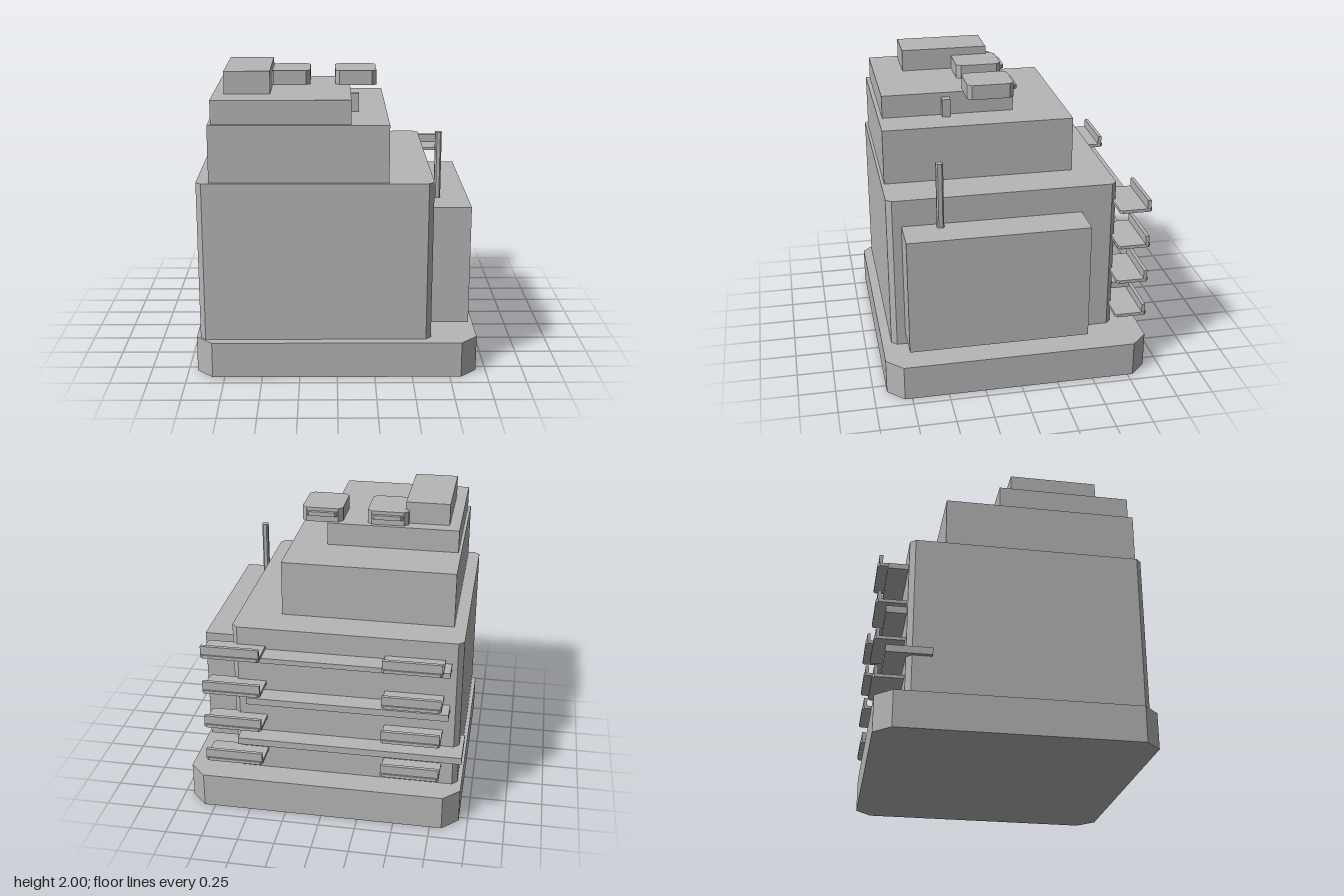
import * as THREE from 'three';

export function createModel() {
  const model = new THREE.Group();
  model.name = 'steppedTower';
  const grey = new THREE.MeshStandardMaterial({ color: 0xb6b6b6 });
  grey.name = 'concreteGrey';

  // Box given by its extents on each axis
  function box(name, [x0, x1], [y0, y1], [z0, z1], parent = model) {
    const mesh = new THREE.Mesh(new THREE.BoxGeometry(x1 - x0, y1 - y0, z1 - z0), grey);
    mesh.position.set((x0 + x1) / 2, (y0 + y1) / 2, (z0 + z1) / 2);
    mesh.name = name;
    parent.add(mesh);
    return mesh;
  }

  // Block with its four vertical corners cut by c
  function cutBlock(name, [x0, x1], [y0, y1], [z0, z1], c, parent = model) {
    const w = (x1 - x0) / 2, d = (z1 - z0) / 2;
    const corners = [
      [w, -d + c], [w, d - c], [w - c, d], [-w + c, d],
      [-w, d - c], [-w, -d + c], [-w + c, -d], [w - c, -d],
    ].map(([x, y]) => new THREE.Vector2(x, y));
    const geometry = new THREE.ExtrudeGeometry(new THREE.Shape(corners), { depth: y1 - y0, bevelEnabled: false });
    geometry.rotateX(-Math.PI / 2);
    const mesh = new THREE.Mesh(geometry, grey);
    mesh.position.set((x0 + x1) / 2, y0, (z0 + z1) / 2);
    mesh.name = name;
    parent.add(mesh);
    return mesh;
  }

  // Base and stepped tiers
  cutBlock('base', [-0.94, 0.935], [0, 0.243], [-0.895, 0.91], 0.11);
  cutBlock('tower', [-0.912, 0.627], [0.243, 1.316], [-0.712, 0.845], 0.036);
  box('upperTier', [-0.828, 0.335], [1.316, 1.694], [-0.47, 0.825]);
  box('topTier', [-0.808, 0.09], [1.694, 1.85], [-0.104, 0.797]);
  box('roofBlock', [-0.735, -0.435], [1.85, 2], [-0.012, 0.59]);
  box('roofVent', [0.09, 0.148], [1.694, 1.818], [0.338, 0.394]);

  // Side annex and its mast
  box('annex', [0.627, 0.88], [0.325, 1.13], [-0.47, 0.75]);
  cutBlock('mast', [0.652, 0.694], [0.27, 1.58], [0.475, 0.522], 0.01);

  // Roof pads with a thin ledge at the back
  for (const x of [-0.32, 0.13]) {
    const pad = new THREE.Group();
    pad.name = 'roofPad';
    model.add(pad);
    cutBlock('padBody', [x - 0.14, x + 0.14], [1.845, 1.945], [-0.075, 0.24], 0.03, pad);
    cutBlock('padLedge', [x - 0.105, x + 0.105], [1.893, 1.922], [-0.1, -0.04], 0.015, pad);
  }

  // Balconies: a pair on each of four levels at the back
  for (const y of [0.38, 0.643, 0.905, 1.168]) {
    for (const x of [-0.6, 0.596]) {
      const balcony = new THREE.Group();
      balcony.name = 'balcony';
      model.add(balcony);
      cutBlock('balconyFloor', [x - 0.197, x + 0.197], [y, y + 0.022], [-0.91, -0.688], 0.016, balcony);
      box('balconyRail', [x - 0.194, x + 0.194], [y + 0.022, y + 0.082], [-0.9, -0.876], balcony);
    }
  }

  // Ledges across the back; the lowest wraps around the corner
  box('highLedge', [-0.84, 0.44], [1.132, 1.168], [-0.845, -0.7]);
  box('middleLedge', [-0.84, 0.51], [0.812, 0.86], [-0.845, -0.7]);
  box('lowLedge', [-0.94, 0.58], [0.492, 0.54], [-0.845, -0.548]);

  return model;
}
